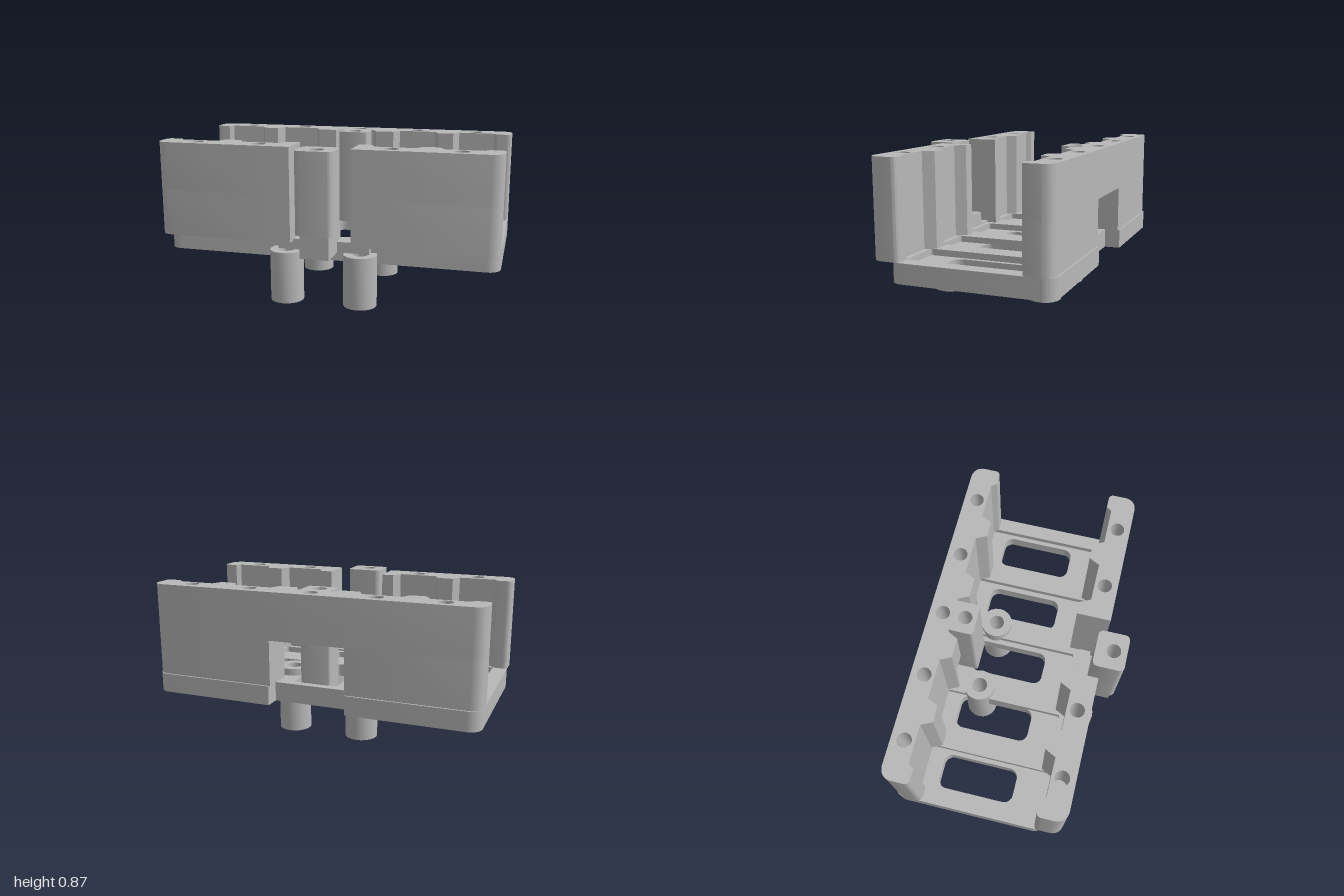
import * as THREE from 'three';
import { toCreasedNormals } from 'three/addons/utils/BufferGeometryUtils.js';

const L = 0.955;       // half length of the body
const HOLE_V = 0.417;  // screw hole offset from the centre line

export function createModel() {
  const grey = new THREE.MeshStandardMaterial({ color: 0xb8b8b8 });
  grey.name = 'grey';
  const model = new THREE.Group();
  const body = new THREE.Group();
  body.name = 'body';
  body.rotation.y = -Math.PI / 4; // local x = length, local z = width
  model.add(body);

  // Extrude a plan outline (x, z) between two heights
  function slab(name, shape, y0, y1) {
    let geo = new THREE.ExtrudeGeometry(shape, { depth: y1 - y0, bevelEnabled: false, curveSegments: 10 });
    geo.rotateX(Math.PI / 2);
    geo.translate(0, y1, 0);
    geo = toCreasedNormals(geo, 0.6);
    const mesh = new THREE.Mesh(geo, grey);
    mesh.name = name;
    body.add(mesh);
  }
  function roundRect(x0, x1, z0, z1, r, Type = THREE.Shape) {
    const s = new Type();
    s.absarc(x1 - r, z1 - r, r, 0, Math.PI / 2);
    s.absarc(x0 + r, z1 - r, r, Math.PI / 2, Math.PI);
    s.absarc(x0 + r, z0 + r, r, Math.PI, Math.PI * 1.5);
    s.absarc(x1 - r, z0 + r, r, Math.PI * 1.5, Math.PI * 2);
    s.closePath();
    return s;
  }
  function circle(x, z, r, Type = THREE.Path) {
    const p = new Type();
    p.absarc(x, z, r, 0, Math.PI * 2);
    return p;
  }
  function rect(x0, x1, z0, z1) {
    return new THREE.Shape([[x0, z0], [x1, z0], [x1, z1], [x0, z1]].map(p => new THREE.Vector2(...p)));
  }

  // Base outline with the connector notch on the back long side
  function baseShape() {
    const s = new THREE.Shape(), r = 0.07, z0 = -0.5, z1 = 0.39;
    s.absarc(L - r, z1 - r, r, 0, Math.PI / 2);
    s.absarc(-L + r, z1 - r, r, Math.PI / 2, Math.PI);
    s.absarc(-L + r, z0 + r, r, Math.PI, Math.PI * 1.5);
    s.lineTo(-0.225, z0);
    s.lineTo(-0.225, -0.41);
    s.lineTo(0.225, -0.41);
    s.lineTo(0.225, z0);
    s.absarc(L - r, z0 + r, r, Math.PI * 1.5, Math.PI * 2);
    s.closePath();
    for (const x of [-0.21, 0.21]) s.holes.push(circle(x, -0.177, 0.045));
    return s;
  }

  // Floor with five windows, then ribs and rim around shallow pockets
  const floor = baseShape();
  for (const x of [-0.745, -0.37, 0, 0.37, 0.745])
    floor.holes.push(roundRect(x - 0.1, x + 0.1, -0.27, 0.17, 0.05, THREE.Path));
  slab('floor', floor, 0.23, 0.305);
  const ribs = baseShape();
  for (const [x, h] of [[-0.745, 0.125], [-0.385, 0.115], [0, 0.13], [0.385, 0.115], [0.745, 0.125]])
    ribs.holes.push(roundRect(x - h, x + h, -0.36, 0.33, 0.01, THREE.Path));
  slab('floorRibs', ribs, 0.305, 0.34);

  // Stepped inner face of the long walls: [along, distance from centre line]
  const half = [[0.1, 0.36], [0.13, 0.3], [0.24, 0.3], [0.27, 0.36], [0.49, 0.36],
    [0.52, 0.3], [0.61, 0.3], [0.64, 0.36], [0.85, 0.36], [0.87, 0.33]];
  const inner = [...half.map(([x, z]) => [-x, z]).reverse(), ...half];

  // Plan of a wall from x0 to x1; s picks the side, outer body ends are rounded
  function wallShape(x0, x1, s, holes = []) {
    const sh = new THREE.Shape(), out = 0.49, r = 0.06, q = 0.03;
    if (x0 <= -L) {
      sh.moveTo(x0 + q, s * 0.33);
      sh.quadraticCurveTo(x0, s * 0.33, x0, s * (0.33 + q));
      sh.lineTo(x0, s * (out - r));
      sh.quadraticCurveTo(x0 + r * 0.12, s * (out - r * 0.12), x0 + r, s * out);
    } else {
      sh.moveTo(x0, s * 0.3);
      sh.lineTo(x0, s * out);
    }
    if (x1 >= L) {
      sh.lineTo(x1 - r, s * out);
      sh.quadraticCurveTo(x1 - r * 0.12, s * (out - r * 0.12), x1, s * (out - r));
      sh.lineTo(x1, s * (0.33 + q));
      sh.quadraticCurveTo(x1, s * 0.33, x1 - q, s * 0.33);
    } else {
      sh.lineTo(x1, s * out);
      sh.lineTo(x1, s * 0.3);
    }
    for (const [x, z] of inner.filter(p => p[0] > x0 && p[0] < x1).reverse()) sh.lineTo(x, s * z);
    sh.closePath();
    for (const x of holes) sh.holes.push(circle(x, s * HOLE_V, 0.04));
    return sh;
  }

  // Front wall: two halves with a gap; back wall: full above an opening
  for (const e of [-1, 1]) {
    const span = g => (e < 0 ? [-L, -g] : [g, L]);
    slab('frontWallLower', wallShape(...span(0.17), 1), 0.34, 0.6);
    slab('frontWallUpper', wallShape(...span(0.17), 1, [e * 0.37, e * 0.737]), 0.6, 0.87);
    slab('backWallLower', wallShape(...span(0.22), -1), 0.34, 0.6);
  }
  slab('backWallUpper', wallShape(-L, L, -1, [-0.737, -0.37, 0, 0.37, 0.737]), 0.6, 0.87);

  // Inner post behind the opening
  const post = () => roundRect(-0.09, 0.09, -0.365, -0.225, 0.015);
  slab('innerPostLower', post(), 0.3, 0.6);
  const postTop = post();
  postTop.holes.push(circle(0, -0.29, 0.04));
  slab('innerPostUpper', postTop, 0.6, 0.87);

  // Outer post standing in front of the gap, carried by an arm
  const outer = () => roundRect(-0.105, 0.105, 0.44, 0.615, 0.03);
  slab('outerPostLower', outer(), 0.42, 0.6);
  const outerTop = outer();
  outerTop.holes.push(circle(0, 0.54, 0.04));
  slab('outerPostUpper', outerTop, 0.6, 0.87);
  slab('postArm', rect(-0.08, 0.08, 0.36, 0.595), 0.29, 0.42);
  slab('legBridge', rect(-0.26, 0.26, 0.36, 0.43), 0.29, 0.35);

  // Four hollow legs; the back pair rises through the floor as bosses
  for (const x of [-0.21, 0.21])
    for (const [z, top] of [[-0.177, 0.38], [0.43, 0.29]]) {
      const ring = circle(x, z, 0.093, THREE.Shape);
      ring.holes.push(circle(x, z, 0.045));
      slab('leg', ring, 0, top);
    }
  return model;
}
